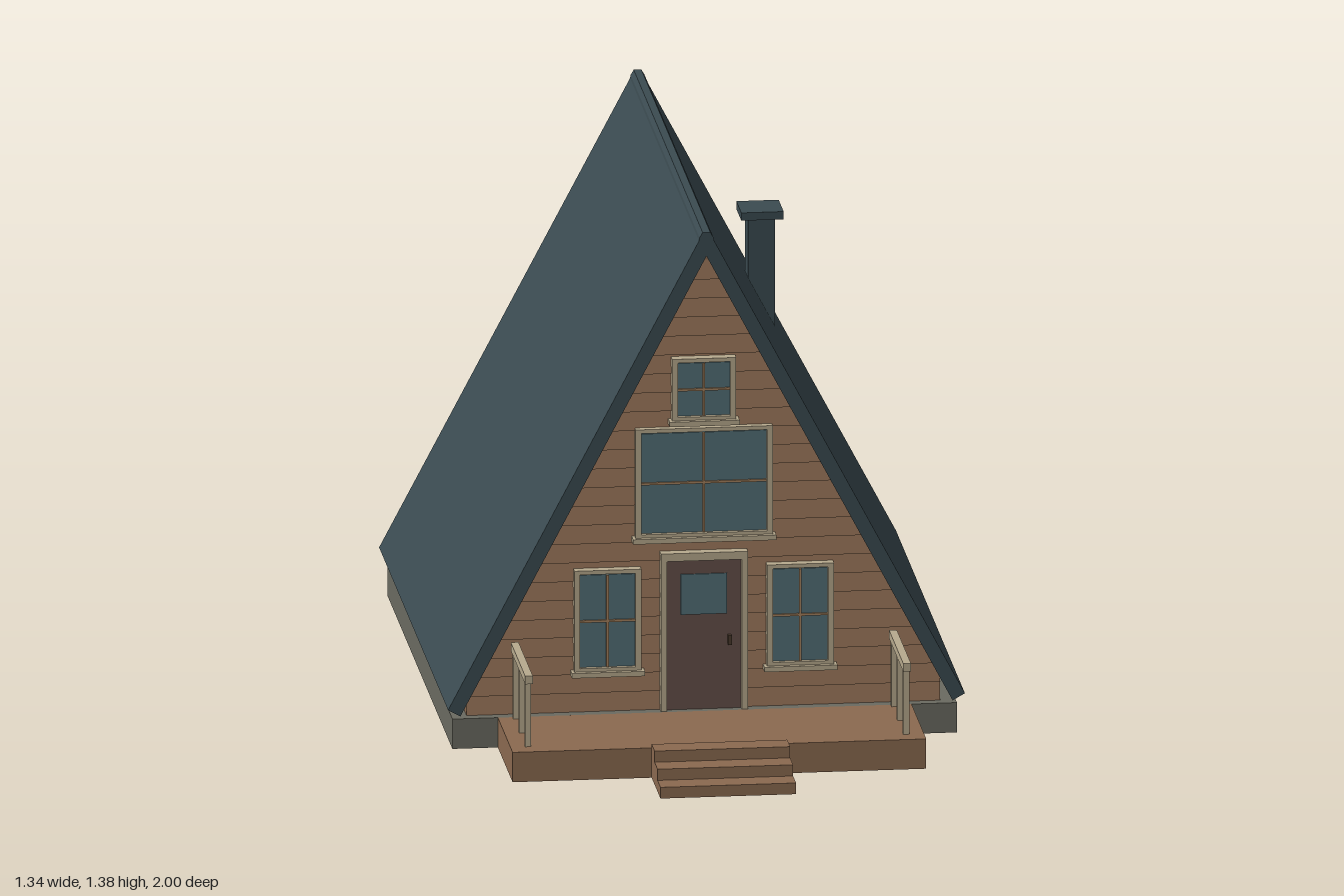
import * as THREE from 'three';

const mat = (name, color) => {
  const m = new THREE.MeshStandardMaterial({ color });
  m.name = name;
  return m;
};

export function createModel() {
  const model = new THREE.Group();
  model.name = 'aFrameCabin';
  const wood = mat('brown wood', 0x8b6a50);
  const roofing = mat('slate roofing', 0x3b4b51);
  const stone = mat('grey stone', 0x6b6b61);
  const trim = mat('cream trim', 0xb8aa8e);
  const glass = mat('blue glass', 0x526f77);
  const doorPaint = mat('door brown', 0x64504a);
  const bronze = mat('bronze', 0x4a3a2c);
  const tan = mat('tan glazing bar', 0xa5825f);

  const add = (name, geo, material, parent = model) => {
    const m = new THREE.Mesh(geo, material);
    m.name = name;
    parent.add(m);
    return m;
  };
  // Box given by its low and high limits on each axis
  const box = (name, material, x0, x1, y0, y1, z0, z1, parent) => {
    const g = new THREE.BoxGeometry(x1 - x0, y1 - y0, z1 - z0);
    g.translate((x0 + x1) / 2, (y0 + y1) / 2, (z0 + z1) / 2);
    return add(name, g, material, parent);
  };
  const prism = (points, z0, z1) => {
    const s = new THREE.Shape(points.map(([x, y]) => new THREE.Vector2(x, y)));
    const g = new THREE.ExtrudeGeometry(s, { depth: z1 - z0, bevelEnabled: false });
    return g.translate(0, 0, z0);
  };

  const wallZ = 0.44;
  const innerApex = 1.312, slope = 1.9;

  // Base, deck and steps
  box('foundation', stone, -0.655, 0.655, 0, 0.08, -0.955, 0.48);
  box('deck', wood, -0.537, 0.537, 0, 0.08, 0.48, 0.805);
  for (let i = 0; i < 3; i++) {
    box('step', wood, -0.176, 0.176, 0, 0.09 - i * 0.03, 0.805 + i * 0.065, 0.87 + i * 0.065);
  }

  // Triangular body under the roof
  add('body', prism([[-0.615, 0.08], [0.615, 0.08], [0.615, 0.145], [0, innerApex], [-0.615, 0.145]], -0.92, wallZ), wood);

  // Overlapping siding boards, each with its lower edge standing out
  const siding = new THREE.Group();
  siding.name = 'siding';
  model.add(siding);
  const pitch = 0.05, lip = 0.012;
  for (let y = 0.08; y < 1.27; y += pitch) {
    const half = Math.min(0.615, (innerApex - y) / slope);
    const g = prism([[0, 0], [0, pitch], [-lip, 0]], -half, half);
    g.rotateY(Math.PI / 2).translate(0, y, wallZ);
    add('sidingBoard', g, wood, siding);
  }

  // Roof slabs and ridge cap
  for (const s of [-1, 1]) {
    const pts = [[0, innerApex], [0.639, 0.098], [0.671, 0.116], [0.016, 1.36], [0, 1.36]];
    add(s < 0 ? 'rightRoof' : 'leftRoof', prism(pts.map(([x, y]) => [s * x, y]), -1, 0.52), roofing);
  }
  add('ridgeCap', prism([[-0.02, 1.35], [0.02, 1.35], [0.018, 1.362], [0.01, 1.376], [-0.01, 1.376], [-0.018, 1.362]], -1, 0.52), roofing);

  // Chimney
  box('chimneyStack', roofing, 0.22, 0.29, 0.82, 1.135, -0.5, -0.43);
  box('chimneyCap', roofing, 0.2, 0.31, 1.133, 1.154, -0.52, -0.41);

  // Windows: glass, four trim bars, crossed glazing bars and a sill
  const windowAt = (name, cx, half, y0, y1) => {
    const g = new THREE.Group();
    g.name = name;
    model.add(g);
    const t = 0.015, x0 = cx - half, x1 = cx + half, cy = (y0 + y1) / 2;
    const zb = wallZ, zf = wallZ + 0.03;
    box('pane', glass, x0 + t, x1 - t, y0 + t, y1 - t, wallZ + 0.012, wallZ + 0.018, g);
    box('trimSide', trim, x0, x0 + t, y0, y1, zb, zf, g);
    box('trimSide', trim, x1 - t, x1, y0, y1, zb, zf, g);
    box('trimTop', trim, x0 + t, x1 - t, y1 - t * 0.7, y1, zb, zf, g);
    box('trimBottom', trim, x0 + t, x1 - t, y0, y0 + t, zb, zf, g);
    box('sill', trim, x0 - 0.008, x1 + 0.008, y0 - 0.007, y0 + 0.006, zb, zf + 0.012, g);
    box('uprightBar', tan, cx - 0.003, cx + 0.003, y0 + t, y1 - t, wallZ + 0.016, wallZ + 0.024, g);
    box('crossBar', tan, x0 + t, x1 - t, cy - 0.003, cy + 0.003, wallZ + 0.016, wallZ + 0.023, g);
  };
  windowAt('rightWindow', -0.25, 0.087, 0.186, 0.463);
  windowAt('leftWindow', 0.25, 0.087, 0.186, 0.463);
  windowAt('middleWindow', 0, 0.178, 0.54, 0.837);
  windowAt('atticWindow', 0, 0.083, 0.852, 1.023);

  // Door with its frame, window and handle
  const door = new THREE.Group();
  door.name = 'door';
  model.add(door);
  box('doorLeaf', doorPaint, -0.098, 0.098, 0.08, 0.482, wallZ, wallZ + 0.02, door);
  for (const s of [-1, 1]) {
    box('doorPost', trim, s * 0.105 - 0.008, s * 0.105 + 0.008, 0.08, 0.482, wallZ, wallZ + 0.035, door);
  }
  box('doorHead', trim, -0.113, 0.113, 0.482, 0.503, wallZ, wallZ + 0.035, door);
  box('doorWindow', glass, -0.06, 0.06, 0.335, 0.443, wallZ + 0.019, wallZ + 0.024, door);
  box('doorHandle', bronze, 0.062, 0.071, 0.253, 0.278, wallZ + 0.019, wallZ + 0.034, door);

  // Deck railings
  for (const s of [-1, 1]) {
    const g = new THREE.Group();
    g.name = s < 0 ? 'rightRailing' : 'leftRailing';
    model.add(g);
    const x = s * 0.491;
    box('topRail', trim, x - 0.01, x + 0.01, 0.253, 0.275, 0.46, 0.775, g);
    for (const z of [0.49, 0.619, 0.748]) {
      box('railPost', trim, x - 0.008, x + 0.008, 0.08, 0.255, z - 0.009, z + 0.009, g);
    }
  }
  return model;
}
